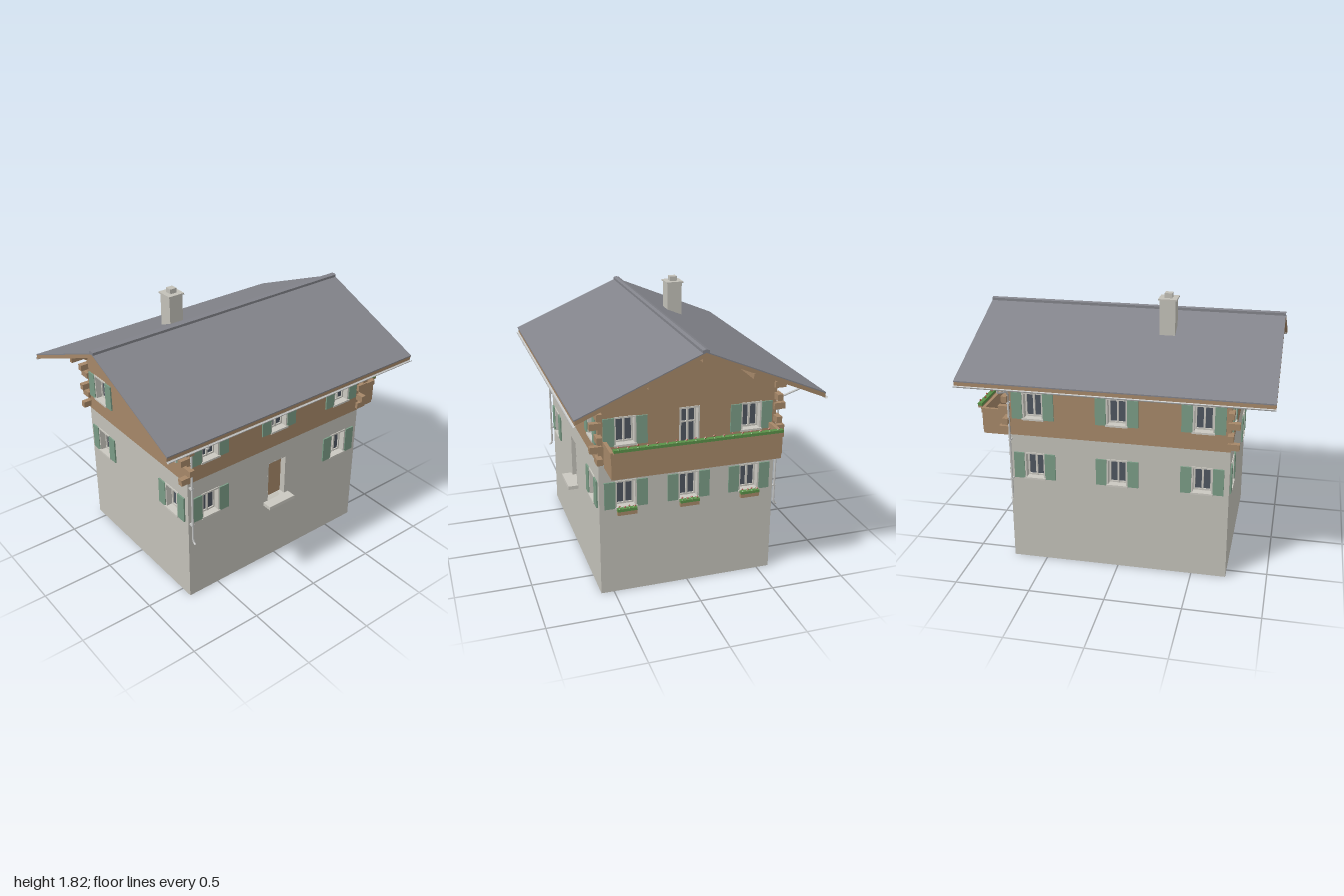
import * as THREE from 'three';

const mat = (name, color, side = THREE.FrontSide) => {
  const m = new THREE.MeshStandardMaterial({ color, side });
  m.name = name;
  return m;
};
const M = {
  plaster: mat('plaster', 0xc2c0b8, THREE.DoubleSide),
  wood: mat('timber', 0xa58768, THREE.DoubleSide),
  roof: mat('slate', 0x82838a),
  shutter: mat('shutterGreen', 0x7a9b85),
  frame: mat('windowFrame', 0xcac8c0),
  glass: mat('glass', 0x4e5660, THREE.DoubleSide),
  metal: mat('gutterMetal', 0xc6c7c6, THREE.DoubleSide),
  leaf: mat('foliage', 0x5a9048),
  flower: mat('blossom', 0xa5503f),
};

// Half width, half depth, top of the plaster storey, roof underside at the ridge, roof slope
const HX = 0.73, HZ = 0.585, SPLIT = 0.91, PEAK = 1.63, SLOPE = 0.424;
const EAVE = PEAK - SLOPE * HZ;

function add(parent, name, geo, material, x = 0, y = 0, z = 0) {
  const m = new THREE.Mesh(geo, material);
  m.name = name;
  m.position.set(x, y, z);
  parent.add(m);
  return m;
}
// Box given by its limits on each axis
function span(parent, name, material, x0, x1, y0, y1, z0, z1) {
  return add(parent, name, new THREE.BoxGeometry(x1 - x0, y1 - y0, z1 - z0), material,
    (x0 + x1) / 2, (y0 + y1) / 2, (z0 + z1) / 2);
}
const poly = pts => new THREE.Shape(pts.map(p => new THREE.Vector2(...p)));
const rect = (x0, x1, y0, y1) => poly([[x0, y0], [x1, y0], [x1, y1], [x0, y1]]);

// Rectangular ring, extruded from z0 to z1
function ring(parent, name, material, o, border, z0, z1) {
  const s = rect(o.x - o.w - border, o.x + o.w + border, o.y0 - border, o.y1 + border);
  s.holes.push(rect(o.x - o.w, o.x + o.w, o.y0, o.y1));
  add(parent, name, new THREE.ExtrudeGeometry(s, { depth: z1 - z0, bevelEnabled: false }), material, 0, 0, z0);
}

// Glazed opening: surround with reveal, casements and panes
function glazing(side, o, crossbar) {
  const g = new THREE.Group();
  g.name = 'window';
  side.add(g);
  ring(g, 'surround', M.frame, o, 0.011, -0.05, 0.006);
  span(g, 'panes', M.glass, o.x - o.w, o.x + o.w, o.y0, o.y1, -0.05, -0.045);
  ring(g, 'casement', M.frame, { x: o.x, w: o.w - 0.01, y0: o.y0 + 0.01, y1: o.y1 - 0.01 }, 0.01, -0.045, -0.035);
  span(g, 'mullion', M.frame, o.x - 0.006, o.x + 0.006, o.y0, o.y1, -0.045, -0.032);
  if (crossbar) span(g, 'crossbar', M.frame, o.x - o.w, o.x + o.w, 1.115, 1.123, -0.045, -0.035);
  return g;
}
function windowWithShutters(side, o) {
  const g = glazing(side, o);
  span(g, 'sill', M.frame, o.x - 0.073, o.x + 0.073, o.y0 - 0.013, o.y0, -0.01, 0.015);
  for (const s of [-1, 1])
    add(g, 'shutter', new THREE.BoxGeometry(0.071, 0.183, 0.01), M.shutter,
      o.x + s * 0.105, (o.y0 + o.y1) / 2, 0.006);
}

// One side of the house: x runs along the wall, z points outwards
function buildSide(house, name, half, dist, angle, gable, low, high, doors) {
  const side = new THREE.Group();
  side.name = name;
  side.rotation.y = angle;
  side.position.set(Math.sin(angle) * dist, 0, Math.cos(angle) * dist);
  house.add(side);
  const plaster = rect(-half, half, 0, SPLIT);
  const timber = poly([[-half, SPLIT], [half, SPLIT], [half, EAVE], ...(gable ? [[0, PEAK]] : []), [-half, EAVE]]);
  const cut = (wall, o) => wall.holes.push(rect(o.x - o.w - 0.005, o.x + o.w + 0.005, o.y0 - 0.005, o.y1 + 0.005));
  const opening = (x, y) => ({ x, w: 0.059, y0: y, y1: y + 0.168 });
  for (const x of low) {
    const o = opening(x, 0.612);
    cut(plaster, o);
    windowWithShutters(side, o);
  }
  for (const x of high) {
    const o = opening(x, 1.036);
    cut(timber, o);
    windowWithShutters(side, o);
  }
  if (doors === 'entrance') {
    const o = { x: 0, w: 0.073, y0: 0.485, y1: 0.785 };
    cut(plaster, o);
    ring(side, 'doorReveal', M.plaster, o, 0.006, -0.05, 0.0005);
    span(side, 'frontDoor', M.wood, -0.073, 0.073, 0.485, 0.785, -0.055, -0.045);
    span(side, 'doorstep', M.frame, -0.11, 0.11, 0.46, 0.485, -0.045, 0.068);
  }
  if (doors === 'balcony') {
    const o = { x: 0, w: 0.055, y0: 0.925, y1: 1.22 };
    cut(timber, o);
    glazing(side, o, true).name = 'balconyDoor';
  }
  add(side, 'plasterWall', new THREE.ShapeGeometry(plaster), M.plaster);
  add(side, 'timberWall', new THREE.ShapeGeometry(timber), M.wood);
  return side;
}

// Row of plants in a trough, along local x
function planter(parent, x, y, z, halfLength, count, boxHeight) {
  const g = new THREE.Group();
  g.name = 'flowerBox';
  g.position.set(x, y, z);
  parent.add(g);
  span(g, 'trough', M.wood, -halfLength, halfLength, 0, boxHeight, -0.013, 0.013);
  span(g, 'foliage', M.leaf, -halfLength, halfLength, boxHeight, boxHeight + 0.018, -0.015, 0.015);
  const step = 2 * halfLength / count;
  for (let i = 0; i < count; i++) {
    const px = -halfLength + (i + 0.5) * step, pz = i % 2 ? 0.006 : -0.006;
    add(g, 'leafTuft', new THREE.IcosahedronGeometry(0.012, 0), M.leaf, px, boxHeight + 0.014, -pz);
    add(g, 'blossom', new THREE.OctahedronGeometry(0.008), M.flower, px, boxHeight + 0.028, pz);
  }
}

// Extrude a (z, y) section along the full roof length
function alongRoof(parent, name, pts, material) {
  const geo = new THREE.ExtrudeGeometry(poly(pts), { depth: 2, bevelEnabled: false });
  add(parent, name, geo.translate(0, 0, -1).rotateY(Math.PI / 2), material);
}

export function createModel() {
  const house = new THREE.Group();
  house.name = 'chalet';

  // Walls
  const three = [-0.556, 0, 0.556], ends = [-0.413, 0.413];
  buildSide(house, 'frontSide', HX, HZ, 0, false, [-0.556, 0.556], three, 'entrance');
  buildSide(house, 'backSide', HX, HZ, Math.PI, false, three, three);
  const right = buildSide(house, 'balconySide', HZ, HX, Math.PI / 2, true, [-0.413, 0, 0.413], ends, 'balcony');
  buildSide(house, 'plainGableSide', HZ, HX, -Math.PI / 2, true, ends, ends);

  // Balcony, built on the gable side
  const balcony = new THREE.Group();
  balcony.name = 'balcony';
  right.add(balcony);
  span(balcony, 'floor', M.wood, -0.548, 0.548, 0.888, 0.913, 0, 0.183);
  span(balcony, 'frontPanel', M.wood, -0.55, 0.55, 0.913, 1.034, 0.172, 0.186);
  span(balcony, 'frontRail', M.wood, -0.555, 0.555, 1.034, 1.067, 0.168, 0.19);
  for (const s of [-1, 1]) {
    add(balcony, 'endPanel', new THREE.BoxGeometry(0.014, 0.121, 0.172), M.wood, s * 0.543, 0.9735, 0.086);
    add(balcony, 'endRail', new THREE.BoxGeometry(0.022, 0.033, 0.168), M.wood, s * 0.544, 1.0505, 0.084);
  }
  planter(balcony, 0, 1.062, 0.203, 0.54, 18, 0.014);
  for (const x of [-0.413, 0, 0.413]) planter(right, x, 0.567, 0.028, 0.064, 4, 0.026);

  // Interlocking log ends at the corners
  for (const sx of [-1, 1]) for (const sz of [-1, 1]) {
    for (const y of [0.952, 1.092, 1.242])
      add(house, 'logEnd', new THREE.BoxGeometry(0.075, 0.042, 0.037), M.wood, sx * 0.7475, y, sz * 0.586);
    for (const y of [1.02, 1.172, 1.317])
      add(house, 'logEnd', new THREE.BoxGeometry(0.037, 0.042, 0.075), M.wood, sx * 0.73, y, sz * 0.6025);
  }

  // Roof: timber deck, slate covering, ridge cap and purlins
  const E = 0.778;
  alongRoof(house, 'roofDeck', [[-E, 1.3], [0, PEAK], [E, 1.3], [E, 1.327], [0, 1.655], [-E, 1.327]], M.wood);
  alongRoof(house, 'roofCovering', [[-0.782, 1.325], [0, 1.655], [0.782, 1.325], [0.782, 1.333], [0, 1.662], [-0.782, 1.333]], M.roof);
  alongRoof(house, 'ridgeCap', [[-0.021, 1.65], [0.021, 1.65], [0.021, 1.67], [0, 1.676], [-0.021, 1.67]], M.roof);
  for (const [z, y] of [[0, 1.608], [0.325, 1.472], [-0.325, 1.472]])
    for (const s of [-1, 1])
      add(house, 'purlin', new THREE.BoxGeometry(0.25, 0.034, 0.024), M.wood, s * 0.85, y, z);

  // Chimney
  const chimney = new THREE.Group();
  chimney.name = 'chimney';
  chimney.position.set(-0.264, 0, -0.214);
  house.add(chimney);
  span(chimney, 'stack', M.plaster, -0.051, 0.051, 1.5, 1.778, -0.052, 0.052);
  span(chimney, 'cap', M.plaster, -0.06, 0.06, 1.778, 1.788, -0.061, 0.061);
  span(chimney, 'flue', M.plaster, -0.025, 0.025, 1.788, 1.82, -0.025, 0.025);

  // Gutter and downpipe on both eaves
  for (const angle of [0, Math.PI]) {
    const g = new THREE.Group();
    g.name = 'rainwater';
    g.rotation.y = angle;
    house.add(g);
    const trough = new THREE.CylinderGeometry(0.012, 0.012, 2, 12, 1, true, Math.PI, Math.PI);
    add(g, 'gutter', trough.rotateZ(Math.PI / 2), M.metal, 0, 1.302, 0.785);
    const pts = [[1.292, 0.785], [1.272, 0.78], [1.222, 0.625], [1.2, 0.608], [0.49, 0.608], [0.47, 0.615], [0.46, 0.63]]
      .map(([y, z]) => new THREE.Vector3(-0.713, y, z));
    const path = new THREE.CurvePath();
    for (let i = 1; i < pts.length; i++) path.add(new THREE.LineCurve3(pts[i - 1], pts[i]));
    add(g, 'downpipe', new THREE.TubeGeometry(path, 160, 0.007, 8), M.metal);
    for (const y of [0.6, 0.88, 1.14])
      add(g, 'pipeClip', new THREE.BoxGeometry(0.018, 0.01, 0.03), M.metal, -0.713, y, 0.6);
  }
  return house;
}
